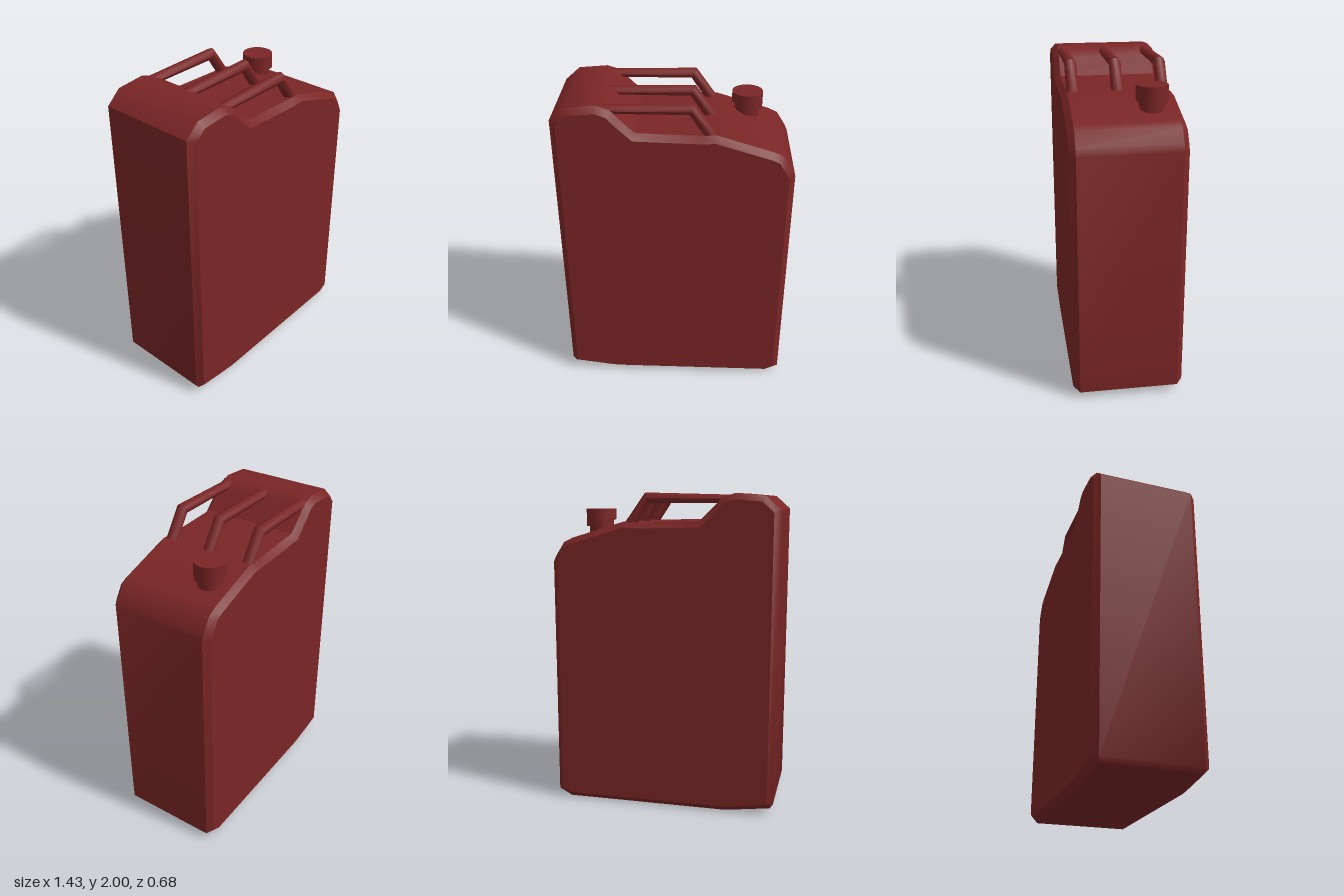
import * as THREE from 'three';
import { toCreasedNormals, mergeVertices } from 'three/addons/utils/BufferGeometryUtils.js';

// Bar swept through mitred cross-sections given as [topX, topY, bottomX, bottomY]
function barGeometry(sections, halfWidth, sides) {
  const pos = [], index = [];
  for (const [tx, ty, bx, by] of sections) {
    for (let i = 0; i < sides; i++) {
      const a = (i / sides) * Math.PI * 2;
      const c = Math.cos(a) / 2;
      pos.push((tx + bx) / 2 + (tx - bx) * c, (ty + by) / 2 + (ty - by) * c, Math.sin(a) * halfWidth);
    }
  }
  for (let s = 0; s < sections.length - 1; s++) {
    for (let i = 0; i < sides; i++) {
      const j = (i + 1) % sides;
      const a = s * sides + i, b = s * sides + j, c = a + sides, d = b + sides;
      index.push(a, b, c, b, d, c);
    }
  }
  const g = new THREE.BufferGeometry();
  g.setAttribute('position', new THREE.Float32BufferAttribute(pos, 3));
  g.setIndex(index);
  return toCreasedNormals(g, 0.85);
}

export function createModel() {
  const model = new THREE.Group();
  const red = new THREE.MeshStandardMaterial({ color: 0x7a2525 });
  red.name = 'dark red paint';
  red.side = THREE.DoubleSide;

  const add = (name, geometry, x = 0, y = 0, z = 0) => {
    const mesh = new THREE.Mesh(geometry, red);
    mesh.name = name;
    mesh.position.set(x, y, z);
    model.add(mesh);
    return mesh;
  };

  // Can body: side outline extruded with chamfered rims
  const outline = [
    [-0.72, 0.07], [-0.7, 0.04], [-0.45, 0.005], [-0.4, 0], [0.63, 0], [0.715, 0.045],
    [0.708, 1.57], [0.69, 1.61], [0.635, 1.695], [0.58, 1.722], [0.24, 1.825],
    [0.16, 1.82], [-0.23, 1.83], [-0.33, 1.925], [-0.37, 1.97], [-0.45, 1.996],
    [-0.63, 1.98], [-0.72, 1.9],
  ].map(([x, y]) => new THREE.Vector2(x, y));
  const chamfer = 0.036;
  const body = new THREE.ExtrudeGeometry(new THREE.Shape(outline), {
    depth: 0.612, bevelEnabled: true, bevelSegments: 1,
    bevelSize: chamfer, bevelOffset: -chamfer, bevelThickness: chamfer,
  });
  body.deleteAttribute('uv');
  body.deleteAttribute('normal');
  add('body', toCreasedNormals(mergeVertices(body), 0.65), 0, 0, -0.306);

  // Three carrying handles
  const sections = [
    [-0.43, 1.986, -0.43, 1.938],
    [-0.36, 1.988, -0.36, 1.936],
    [0.112, 2.0, 0.08, 1.935],
    [0.245, 1.815, 0.16, 1.815],
  ];
  [['frontHandle', 0.271], ['middleHandle', 0], ['backHandle', -0.275]].forEach(([name, z]) =>
    add(name, barGeometry(sections, 0.037, 8), 0, 0, z));

  // Filler neck
  add('neck', new THREE.CylinderGeometry(0.076, 0.076, 0.14, 24), 0.43, 1.78, -0.168);

  // Screw cap with a slanted lower rim
  const cap = new THREE.CylinderGeometry(0.095, 0.095, 0.086, 24);
  const p = cap.attributes.position;
  for (let i = 0; i < p.count; i++) {
    if (p.getY(i) < 0) p.setY(i, -0.043 - p.getX(i) * 0.25);
  }
  cap.computeVertexNormals();
  add('cap', toCreasedNormals(cap, 0.6), 0.43, 1.857, -0.168);

  return model;
}
